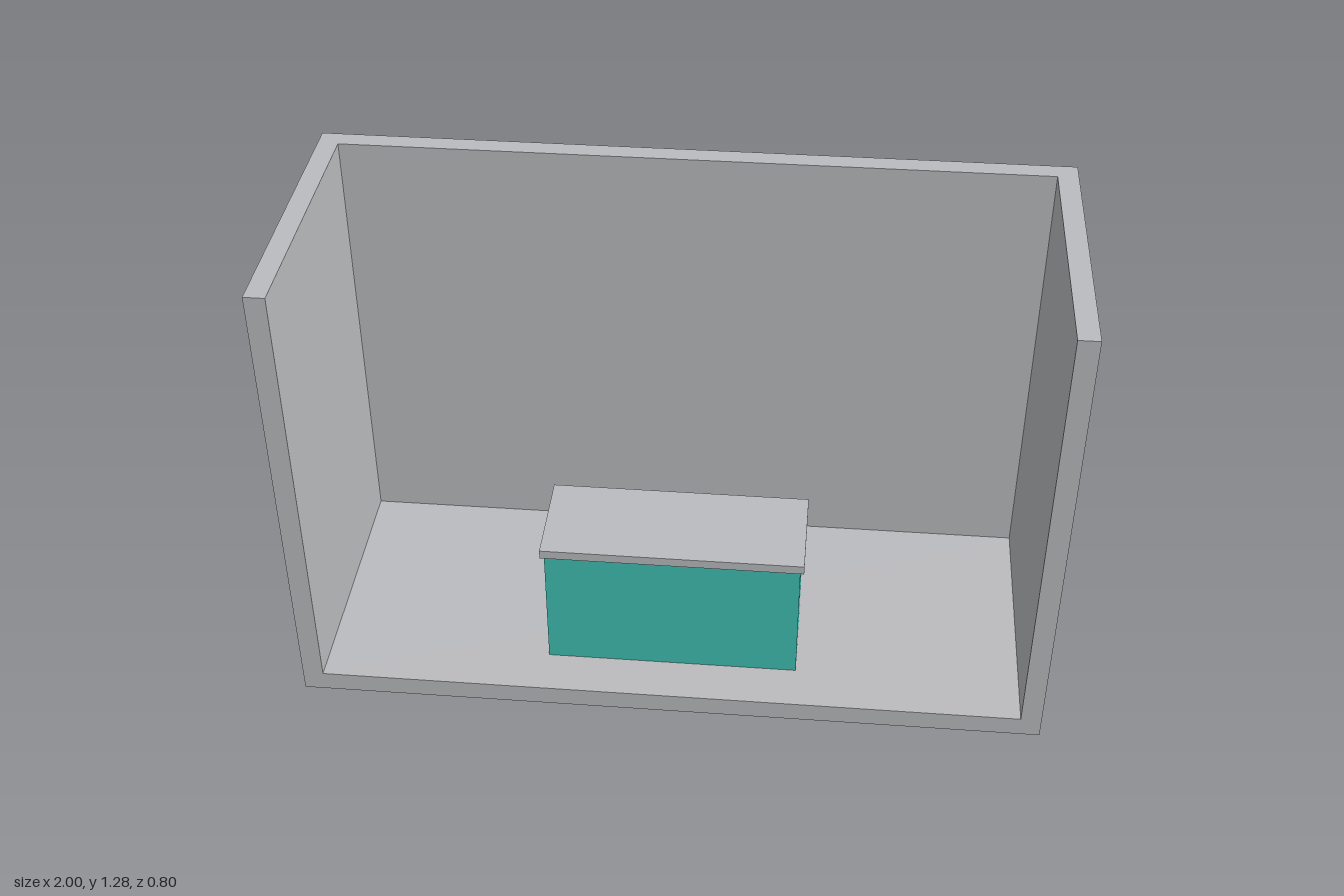
import * as THREE from 'three';

export function createModel() {
  const model = new THREE.Group();
  const wallGrey = new THREE.MeshStandardMaterial({ color: 0xbbbcbf });
  wallGrey.name = 'wall grey';
  const teal = new THREE.MeshStandardMaterial({ color: 0x40c1b4 });
  teal.name = 'teal';

  const W = 2, H = 1.28, D = 0.8, T = 0.055;

  // Box given by its lower and upper corners
  function box(name, material, [x0, y0, z0], [x1, y1, z1], parent = model) {
    const mesh = new THREE.Mesh(new THREE.BoxGeometry(x1 - x0, y1 - y0, z1 - z0), material);
    mesh.position.set((x0 + x1) / 2, (y0 + y1) / 2, (z0 + z1) / 2);
    mesh.name = name;
    parent.add(mesh);
  }

  // Booth shell: floor, back wall and two side walls, open at front and top
  const booth = new THREE.Group();
  booth.name = 'booth';
  model.add(booth);
  const inner = W / 2 - T;
  box('floor', wallGrey, [-inner, 0, -D / 2 + T], [inner, T, D / 2], booth);
  box('backWall', wallGrey, [-inner, 0, -D / 2], [inner, H, -D / 2 + T], booth);
  box('leftWall', wallGrey, [inner, 0, -D / 2], [W / 2, H, D / 2], booth);
  box('rightWall', wallGrey, [-W / 2, 0, -D / 2], [-inner, H, D / 2], booth);

  // Counter with a slightly overhanging top
  const counter = new THREE.Group();
  counter.name = 'counter';
  model.add(counter);
  box('counterBody', teal, [-0.34, 0.03, 0.01], [0.34, 0.415, 0.27], counter);
  box('counterTop', wallGrey, [-0.35, 0.415, 0], [0.35, 0.44, 0.28], counter);

  return model;
}
